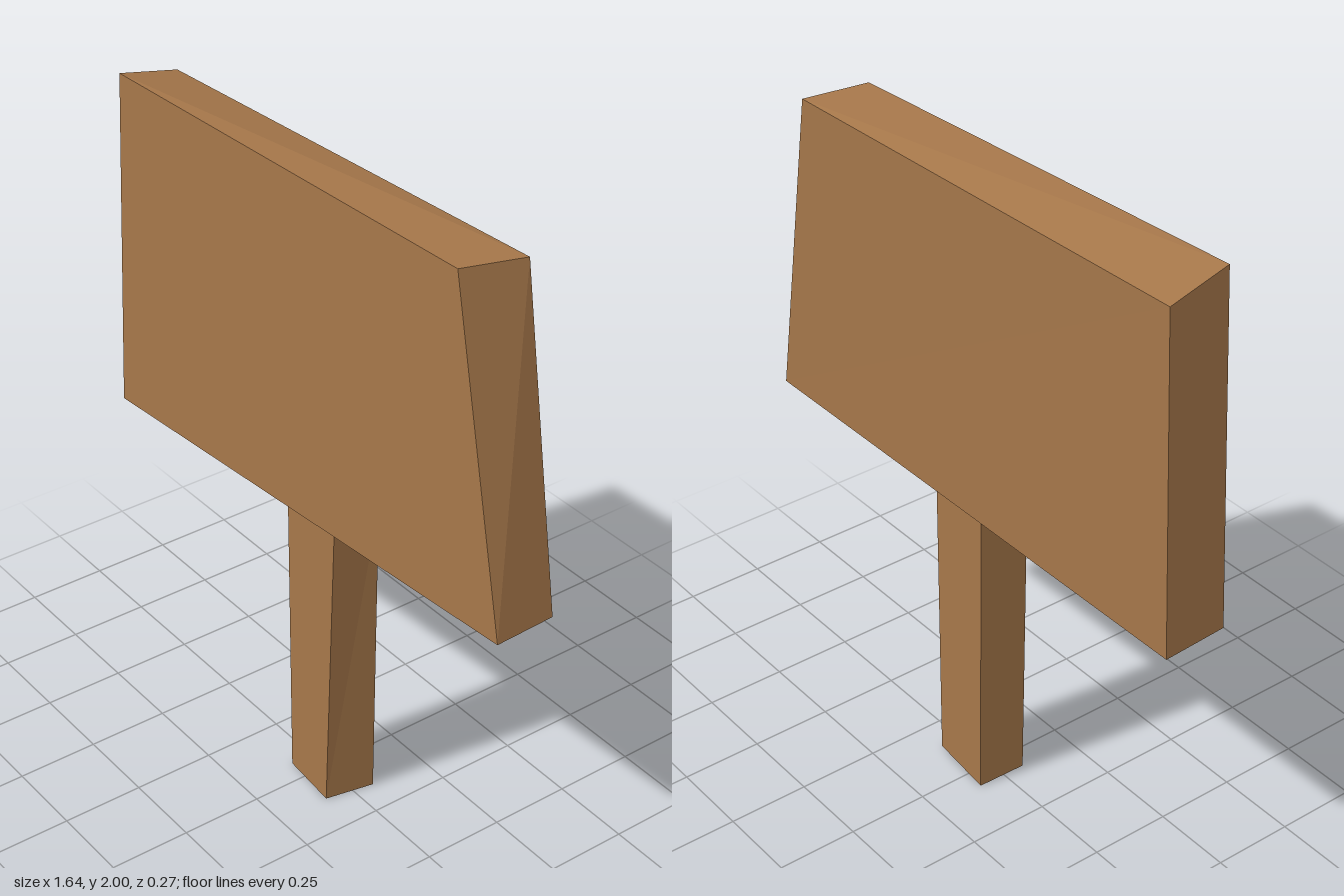
import * as THREE from 'three';

// Six-sided block whose eight corners are placed one by one.
// Each ring of four runs: front left, front right, back right, back left (as seen from the front).
function skewedBlock(bottom, top) {
  const geometry = new THREE.BoxGeometry(1, 1, 1);
  const pos = geometry.attributes.position;
  for (let i = 0; i < pos.count; i++) {
    const ring = pos.getY(i) > 0 ? top : bottom;
    const right = pos.getX(i) > 0;
    const corner = pos.getZ(i) > 0 ? (right ? 1 : 0) : (right ? 2 : 3);
    pos.setXYZ(i, ...ring[corner]);
  }
  const flat = geometry.toNonIndexed();
  flat.computeVertexNormals();
  return flat;
}

export function createModel() {
  const group = new THREE.Group();
  group.name = 'woodenSign';
  const wood = new THREE.MeshStandardMaterial({ color: 0xa6774a, flatShading: true });
  wood.name = 'brown wood';

  // Crooked sign board
  const board = new THREE.Mesh(skewedBlock(
    [[-0.82, 0.935, 0.135], [0.82, 0.98, 0.06], [0.82, 0.988, -0.125], [-0.815, 0.918, -0.057]],
    [[-0.772, 2, 0.127], [0.608, 1.98, 0.055], [0.652, 1.97, -0.135], [-0.78, 1.955, -0.067]],
  ), wood);
  board.name = 'signBoard';

  // Slightly twisted post, its top sunk into the board
  const post = new THREE.Mesh(skewedBlock(
    [[-0.07, 0, 0.07], [0.12, 0, 0.085], [0.15, 0, -0.065], [-0.066, 0, -0.085]],
    [[-0.08, 1, 0.07], [0.157, 1, 0.085], [0.16, 1, -0.065], [-0.07, 1, -0.085]],
  ), wood);
  post.name = 'post';

  group.add(board, post);
  return group;
}
